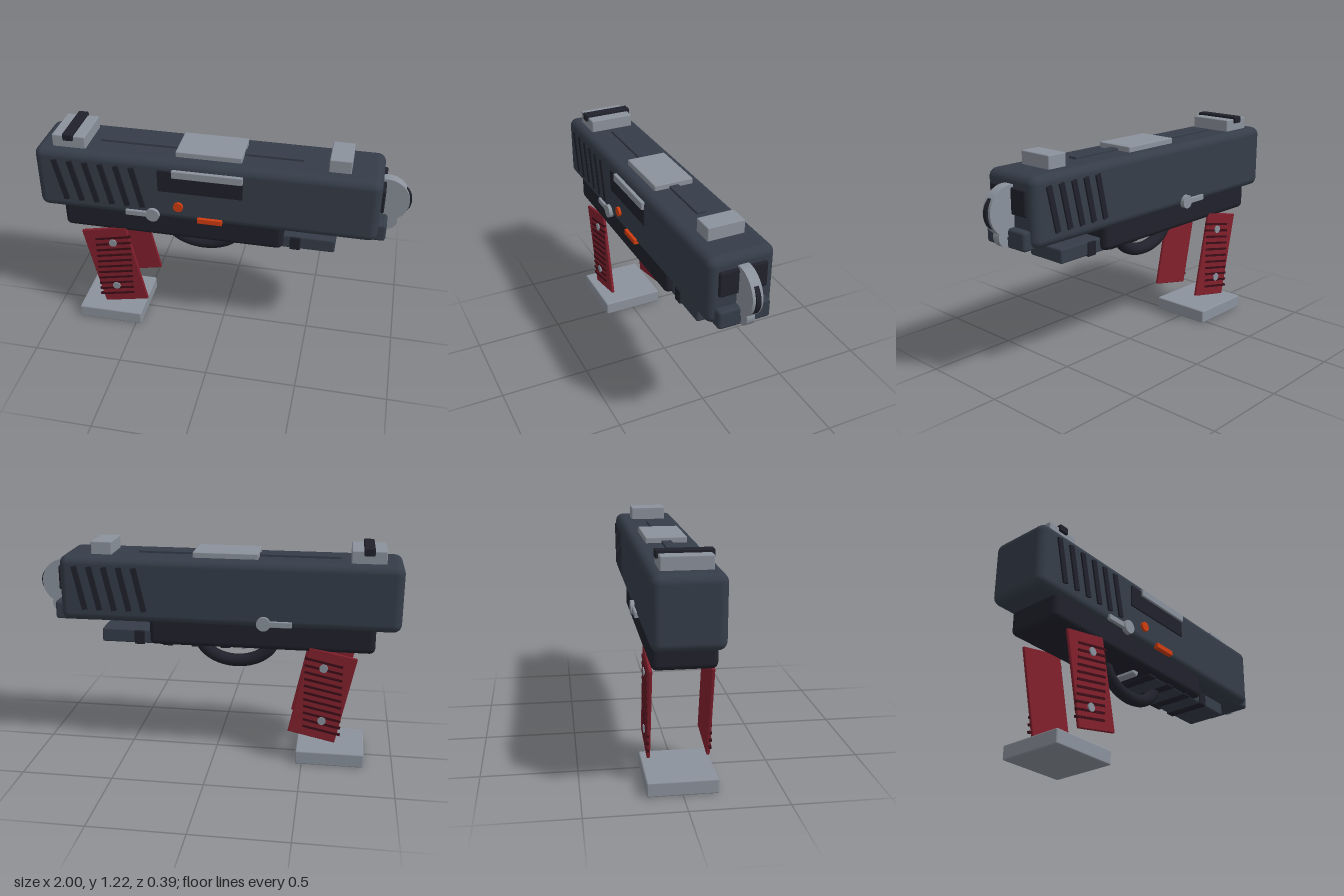
import * as THREE from 'three';
import { RoundedBoxGeometry } from 'three/addons/geometries/RoundedBoxGeometry.js';

const mat = (name, color) => {
  const m = new THREE.MeshStandardMaterial({ color });
  m.name = name;
  return m;
};

export function createModel() {
  const root = new THREE.Group();
  root.name = 'toyBlaster';
  const slate = mat('slate', 0x353d49);
  const dark = mat('darkFrame', 0x20212b);
  const steel = mat('steel', 0x8b929c);
  const red = mat('gripRed', 0x82202d);
  const maroon = mat('grooveMaroon', 0x3c0d16);
  const orange = mat('orange', 0xcf3d10);

  const add = (name, geo, material, x, y, z, tilt = 0) => {
    const m = new THREE.Mesh(geo, material);
    m.name = name;
    m.position.set(x, y, z);
    m.rotation.z = tilt;
    root.add(m);
    return m;
  };
  // Box given by its limits on each axis, with rounded edges of radius r
  const box = (name, material, [x0, x1], [y0, y1], [z0, z1], r = 0.006) =>
    add(name, new RoundedBoxGeometry(x1 - x0, y1 - y0, z1 - z0, r > 0.02 ? 4 : 1, r), material,
      (x0 + x1) / 2, (y0 + y1) / 2, (z0 + z1) / 2);
  // Disc whose axis runs along z
  const disc = (name, material, x, y, z, r, depth, sides = 32) =>
    add(name, new THREE.CylinderGeometry(r, r, depth, sides).rotateX(Math.PI / 2), material, x, y, z);

  // Main bodies
  box('slide', slate, [-1, 0.845], [0.78, 1.14], [-0.177, 0.177], 0.045);
  box('frame', dark, [-0.87, 0.353], [0.655, 0.83], [-0.16, 0.16], 0.03);
  box('dustCover', slate, [0.66, 0.887], [0.775, 0.876], [-0.14, 0.14], 0.015);

  // Accessory rail with cross teeth
  box('rail', slate, [-0.08, 0.63], [0.648, 0.726], [-0.118, 0.118], 0.01);
  for (let i = 0; i < 4; i++) {
    const x = 0.417 - i * 0.16;
    box('railTooth', dark, [x - 0.029, x + 0.029], [0.643, 0.722], [-0.125, 0.125]);
  }

  // Top rib, cover plate and sights
  box('topRib', slate, [-0.67, 0.43], [1.12, 1.153], [-0.027, 0.027], 0.004);
  box('topPlate', steel, [-0.235, 0.118], [1.13, 1.17], [-0.11, 0.11]);
  box('frontSight', steel, [0.565, 0.68], [1.12, 1.21], [-0.1, 0.1]);
  box('rearSight', steel, [-0.905, -0.722], [1.12, 1.207], [-0.125, 0.125]);
  box('rearSightBar', dark, [-0.842, -0.785], [1.182, 1.222], [-0.138, 0.138]);

  // Ejection port and controls on the front side
  box('ejectionPort', dark, [-0.32, 0.137], [0.962, 1.09], [0.17, 0.184], 0.003);
  box('portBolt', steel, [-0.24, 0.137], [1.057, 1.1], [0.172, 0.196], 0.004);
  disc('orangeButton', orange, -0.21, 0.876, 0.18, 0.027, 0.022, 20);
  box('orangeCatch', orange, [-0.107, 0.028], [0.79, 0.82], [0.165, 0.194], 0.003);

  // Thumb levers on both sides
  for (const [side, x] of [[1, -0.353], [-1, -0.275]]) {
    box('leverArm', steel, [x - 0.152, x], [0.792, 0.824], [side * 0.18 - 0.011, side * 0.18 + 0.011], 0.004);
    disc('leverKnob', steel, x, 0.81, side * 0.184, 0.038, 0.026, 24);
  }

  // Slanted serrations: six at the rear on one side, five at the muzzle on the other
  const slot = new THREE.BoxGeometry(0.031, 0.245, 0.02);
  for (let i = 0; i < 6; i++) add('rearSerration', slot, dark, -0.86 + i * 0.085, 0.968, 0.177, 0.22);
  for (let i = 0; i < 5; i++) add('frontSerration', slot, dark, 0.402 + i * 0.082, 0.968, -0.177, -0.22);

  // Muzzle plate, barrel disc, bore insert and guide rod
  box('muzzlePlate', dark, [0.82, 0.862], [0.94, 1.074], [-0.127, 0.127], 0.008);
  disc('barrelDisc', steel, 0.862, 0.96, 0, 0.128, 0.055, 48);
  disc('boreInsert', dark, 0.9, 0.96, 0, 0.1, 0.024, 48);
  disc('guideRod', steel, 0.885, 0.835, 0, 0.055, 0.044, 32);

  // Trigger guard and trigger
  const arc = [];
  for (let i = 0; i <= 16; i++) {
    const a = Math.PI * (1 + i / 16);
    arc.push(new THREE.Vector3(-0.112 + 0.21 * Math.cos(a), 0.685 + 0.15 * Math.sin(a), 0));
  }
  add('triggerGuard', new THREE.TubeGeometry(new THREE.CatmullRomCurve3(arc), 40, 0.036, 14), dark, 0, 0, 0);
  add('trigger', new RoundedBoxGeometry(0.04, 0.1, 0.17, 1, 0.006), steel, -0.155, 0.68, 0, -0.3);

  // Grip panels with grooves and screws on both sides
  const tilt = 0.21;
  const panel = new RoundedBoxGeometry(0.265, 0.505, 0.018, 1, 0.005);
  const groove = new THREE.BoxGeometry(0.21, 0.013, 0.012);
  for (const s of [1, -1]) {
    add('gripPanel', panel, red, -0.6, 0.408, s * 0.152, tilt);
    for (let i = 0; i < 11; i++) add('gripGroove', groove, maroon, -0.603, 0.205 + i * 0.0395, s * 0.158, tilt);
    for (const y of [0.263, 0.568]) disc('gripScrew', steel, -0.603, y, s * 0.159, 0.023, 0.02, 16);
  }

  // Magazine base
  box('magazineBase', steel, [-0.842, -0.465], [0, 0.078], [-0.18, 0.18], 0.008);
  return root;
}
